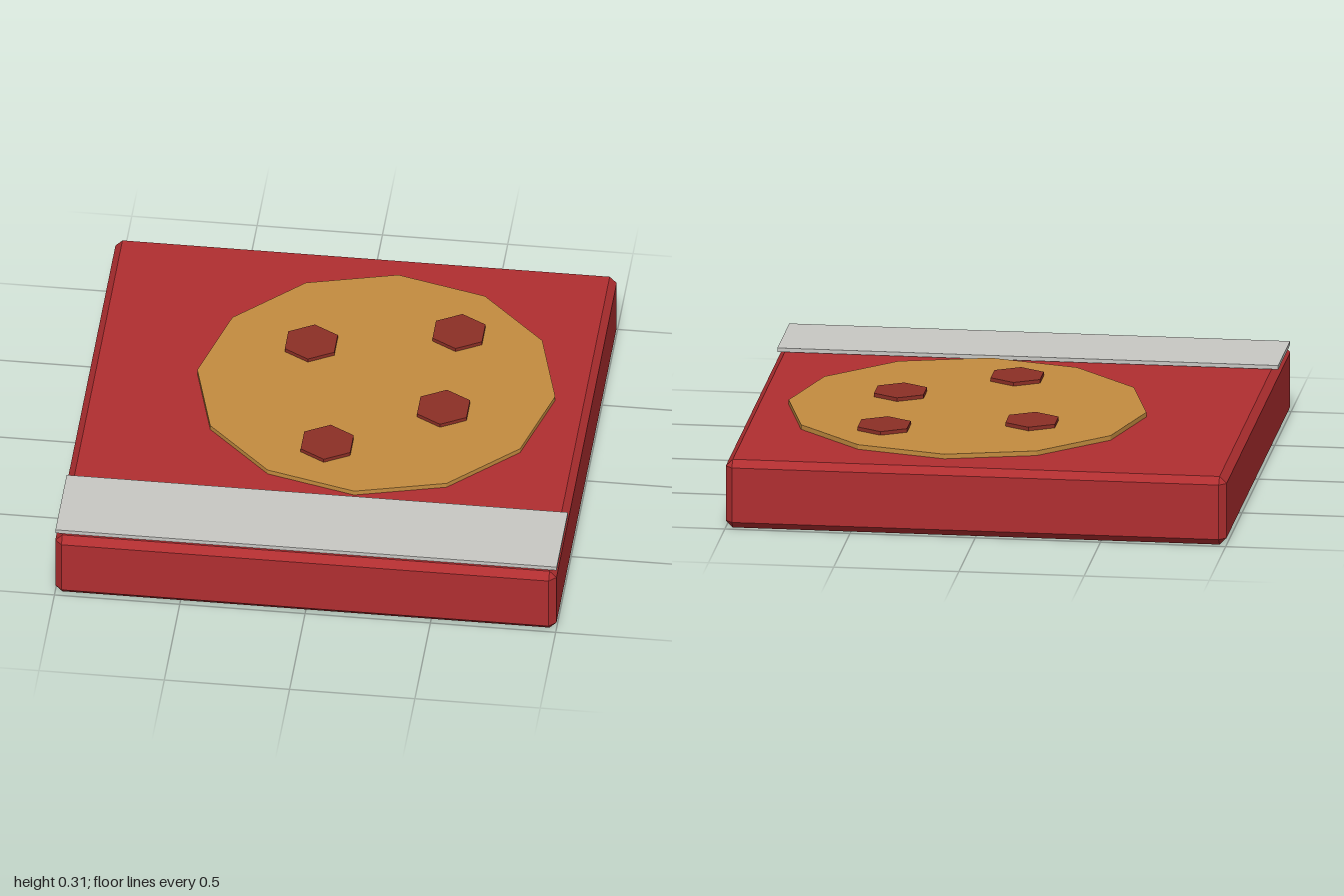
import * as THREE from 'three';
import { ConvexGeometry } from 'three/addons/geometries/ConvexGeometry.js';

function material(name, color) {
  const m = new THREE.MeshStandardMaterial({ color });
  m.name = name;
  return m;
}

// Box centred on the origin with every edge cut at 45 degrees
function chamferedBox(w, h, d, c) {
  const points = [];
  for (const x of [-1, 1]) for (const y of [-1, 1]) for (const z of [-1, 1]) {
    for (let face = 0; face < 3; face++) {
      points.push(new THREE.Vector3(
        x * (w / 2 - (face === 0 ? 0 : c)),
        y * (h / 2 - (face === 1 ? 0 : c)),
        z * (d / 2 - (face === 2 ? 0 : c))
      ));
    }
  }
  return new ConvexGeometry(points);
}

// Flat-sided disc resting at height y
function disc(radius, height, sides, x, y, z) {
  const g = new THREE.CylinderGeometry(radius, radius, height, sides).toNonIndexed();
  g.computeVertexNormals();
  return g.translate(x, y + height / 2, z);
}

export function createModel() {
  const group = new THREE.Group();
  group.name = 'pizzaBox';
  const red = material('box red', 0xb02e30);
  const grey = material('strip grey', 0xc8c8c4);
  const crust = material('pizza tan', 0xc48c3f);
  const meat = material('topping red', 0x8c2f26);

  const add = (name, geometry, mat) => {
    const mesh = new THREE.Mesh(geometry, mat);
    mesh.name = name;
    group.add(mesh);
  };

  // Closed box
  add('box', chamferedBox(2, 0.28, 2, 0.028).translate(0, 0.146, 0), red);

  // Band across the front of the lid
  add('lidStrip', new THREE.BoxGeometry(2, 0.016, 0.362).translate(0, 0.297, 0.786), grey);

  // Pizza picture on the lid
  add('pizza', disc(0.714, 0.021, 12, 0.143, 0.284, -0.143), crust);

  // Round toppings
  const toppings = [[-0.143, -0.36], [0.429, -0.5], [0.429, 0], [0, 0.284]];
  toppings.forEach(([x, z], i) =>
    add(`topping${i + 1}`, disc(0.114, 0.017, 6, x, 0.303, z), meat));

  return group;
}
